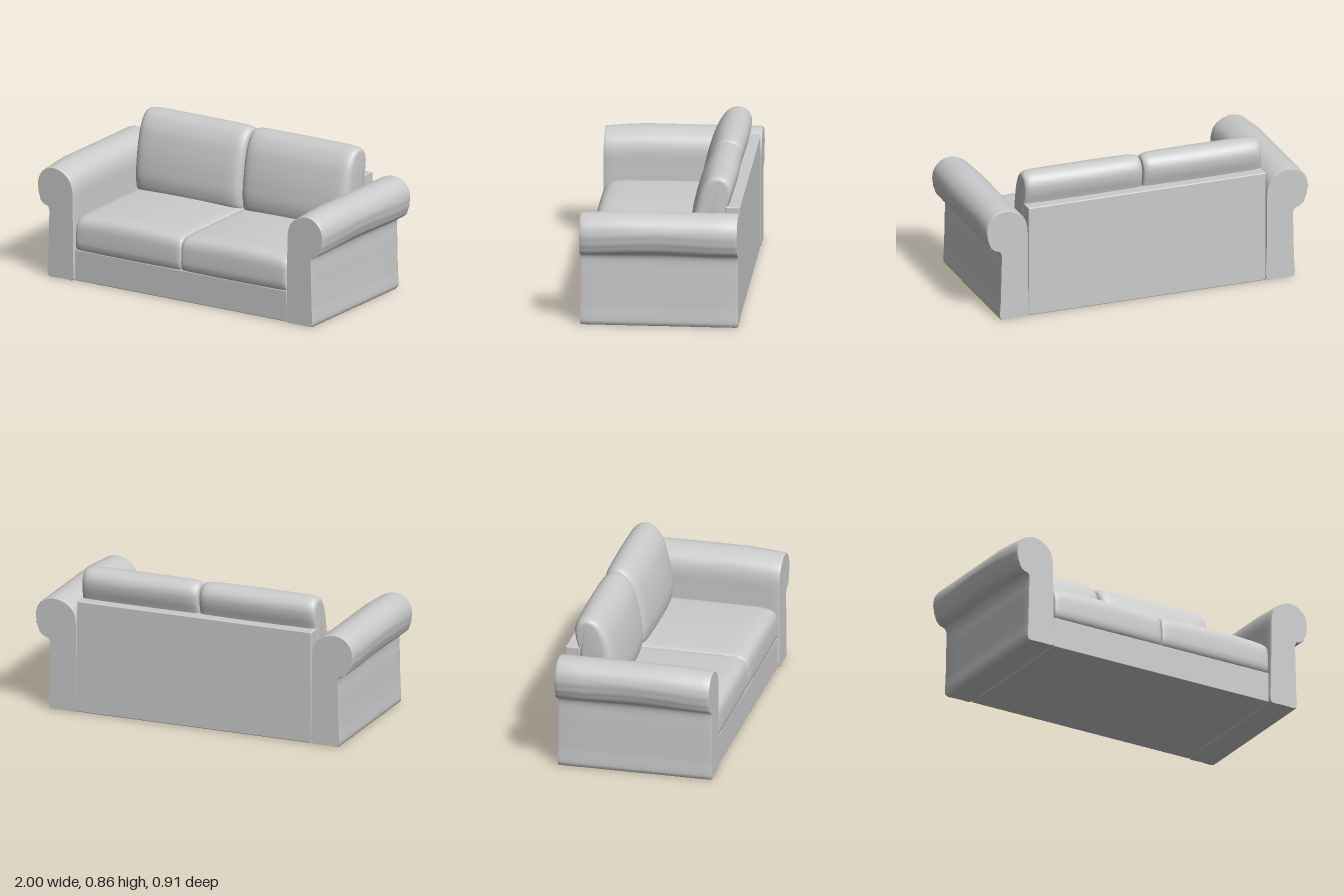
import * as THREE from 'three';
import { toCreasedNormals } from 'three/addons/utils/BufferGeometryUtils.js';
import { RoundedBoxGeometry } from 'three/addons/geometries/RoundedBoxGeometry.js';

const material = new THREE.MeshStandardMaterial({ color: 0xcccccc });

function addMesh(parent, geometry, name) {
  const mesh = new THREE.Mesh(geometry, material);
  mesh.name = name;
  parent.add(mesh);
  return mesh;
}

// Closed smooth outline through a few counter-clockwise points
function outline(points, count) {
  const curve = new THREE.CatmullRomCurve3(points.map(([x, y]) => new THREE.Vector3(x, y, 0)), true, 'centripetal');
  return curve.getSpacedPoints(count).slice(0, count).map((p) => new THREE.Vector2(p.x, p.y));
}

// Skin an outline along z; shape(point, z) returns the deformed [x, y, z]
function loft(profile, stations, shape) {
  const n = profile.length;
  const positions = [], index = [];
  for (const s of stations) for (const p of profile) positions.push(...shape(p, s));
  for (let i = 0; i < stations.length - 1; i++) {
    for (let j = 0; j < n; j++) {
      const a = i * n + j, b = i * n + (j + 1) % n;
      index.push(a, b, a + n, b, b + n, a + n);
    }
  }
  const last = (stations.length - 1) * n;
  for (const [a, b, c] of THREE.ShapeUtils.triangulateShape(profile, [])) {
    index.push(a, c, b, last + a, last + b, last + c);
  }
  const geometry = new THREE.BufferGeometry();
  geometry.setAttribute('position', new THREE.Float32BufferAttribute(positions, 3));
  geometry.setIndex(index);
  return geometry;
}

// Soft cushion from a side profile given as [z, y], spanning x0..x1
function cushion(points, x0, x1, o) {
  const profile = outline(points.map(([z, y]) => [-z, y]), 72);
  const stations = Array.from({ length: 33 }, (_, i) => Math.sin((i / 32 - 0.5) * Math.PI));
  const geometry = loft(profile, stations, (p, u) => {
    const edge = 1 - Math.sqrt(Math.max(0, 1 - Math.abs(u) ** o.power));
    const kz = 1 - o.edgeZ * edge - o.sagZ * u * u;
    const ky = 1 - o.edgeY * edge - o.sagY * u * u;
    return [-o.z + (p.x + o.z) * kz, o.y + (p.y - o.y) * ky, (x0 + x1) / 2 + u * (x1 - x0) / 2];
  });
  return toCreasedNormals(geometry.rotateY(Math.PI / 2), 1.0);
}

// Rolled arm: upright panel flowing into a scroll with soft folds
function armGeometry() {
  const profile = outline([
    [0.735, 0.006], [0.742, 0], [0.82, 0], [0.905, 0], [0.913, 0.008],
    [0.91, 0.12], [0.906, 0.3], [0.905, 0.405], [0.915, 0.43], [0.945, 0.442],
    [0.975, 0.468], [0.982, 0.492], [0.992, 0.515], [0.993, 0.535], [0.998, 0.565],
    [0.983, 0.62], [0.94, 0.663], [0.88, 0.677], [0.82, 0.664], [0.765, 0.625],
    [0.742, 0.57], [0.737, 0.45], [0.735, 0.2],
  ], 110);
  const stations = [-0.457, -0.453, -0.44, -0.3, -0.15, 0, 0.12, 0.23, 0.32, 0.4, 0.445, 0.453, 0.457];
  const geometry = loft(profile, stations, (p, z) => {
    const roll = THREE.MathUtils.smoothstep(p.y, 0.38, 0.5);
    const front = THREE.MathUtils.smoothstep(z, 0.22, 0.46);
    const end = Math.max(0, (Math.abs(z) - 0.44) / 0.017) ** 2;
    const inset = 1 - 0.035 * end;
    const fold = 0.008 * roll * Math.cos(z * 9) * (p.x > 0.9 && p.y < 0.58 ? 1 : 0);
    const x = 0.84 + (p.x - 0.84) * inset - 0.012 * front * roll * (p.x > 0.88 ? 1 : 0);
    const y = 0.35 + (p.y - 0.35) * (1 - 0.01 * end) - 0.013 * front * roll + fold * 0.8;
    return [x, Math.max(0, y), z];
  });
  return toCreasedNormals(geometry, 0.75);
}

export function createModel() {
  const sofa = new THREE.Group();
  sofa.name = 'sofa';

  // Plinth under the seat and upright back panel
  addMesh(sofa, new RoundedBoxGeometry(1.46, 0.187, 0.9, 2, 0.006), 'base').position.set(0, 0.0965, -0.003);
  addMesh(sofa, new RoundedBoxGeometry(1.47, 0.672, 0.085, 2, 0.006), 'backPanel').position.set(0, 0.339, -0.4125);

  const arm = armGeometry();

  // Crowned seat cushion with a rounded front edge
  const seat = cushion([
    [0.445, 0.188], [0.3, 0.186], [-0.1, 0.186], [-0.36, 0.188], [-0.372, 0.21], [-0.37, 0.38],
    [-0.34, 0.402], [-0.1, 0.408], [0.2, 0.406], [0.36, 0.402], [0.42, 0.39], [0.447, 0.36],
    [0.456, 0.3], [0.454, 0.2],
  ], 0.002, 0.724, { z: 0, y: 0.186, power: 24, edgeZ: 0.02, edgeY: 0.06, sagZ: 0.006, sagY: 0.07 });

  // Plump leaning back cushion
  const back = cushion([
    [-0.17, 0.385], [-0.25, 0.375], [-0.35, 0.385], [-0.37, 0.45], [-0.375, 0.58], [-0.39, 0.67],
    [-0.412, 0.745], [-0.413, 0.8], [-0.385, 0.84], [-0.33, 0.857], [-0.27, 0.84], [-0.215, 0.775],
    [-0.18, 0.68], [-0.155, 0.56], [-0.148, 0.46],
  ], 0.004, 0.732, { z: -0.33, y: 0.5, power: 16, edgeZ: 0.3, edgeY: 0.08, sagZ: 0.09, sagY: 0.004 });

  for (const [side, sign] of [['left', 1], ['right', -1]]) {
    const half = new THREE.Group();
    half.name = side + 'Half';
    half.scale.x = sign;
    addMesh(half, arm, side + 'Arm');
    addMesh(half, seat, side + 'SeatCushion');
    addMesh(half, back, side + 'BackCushion');
    sofa.add(half);
  }
  return sofa;
}
